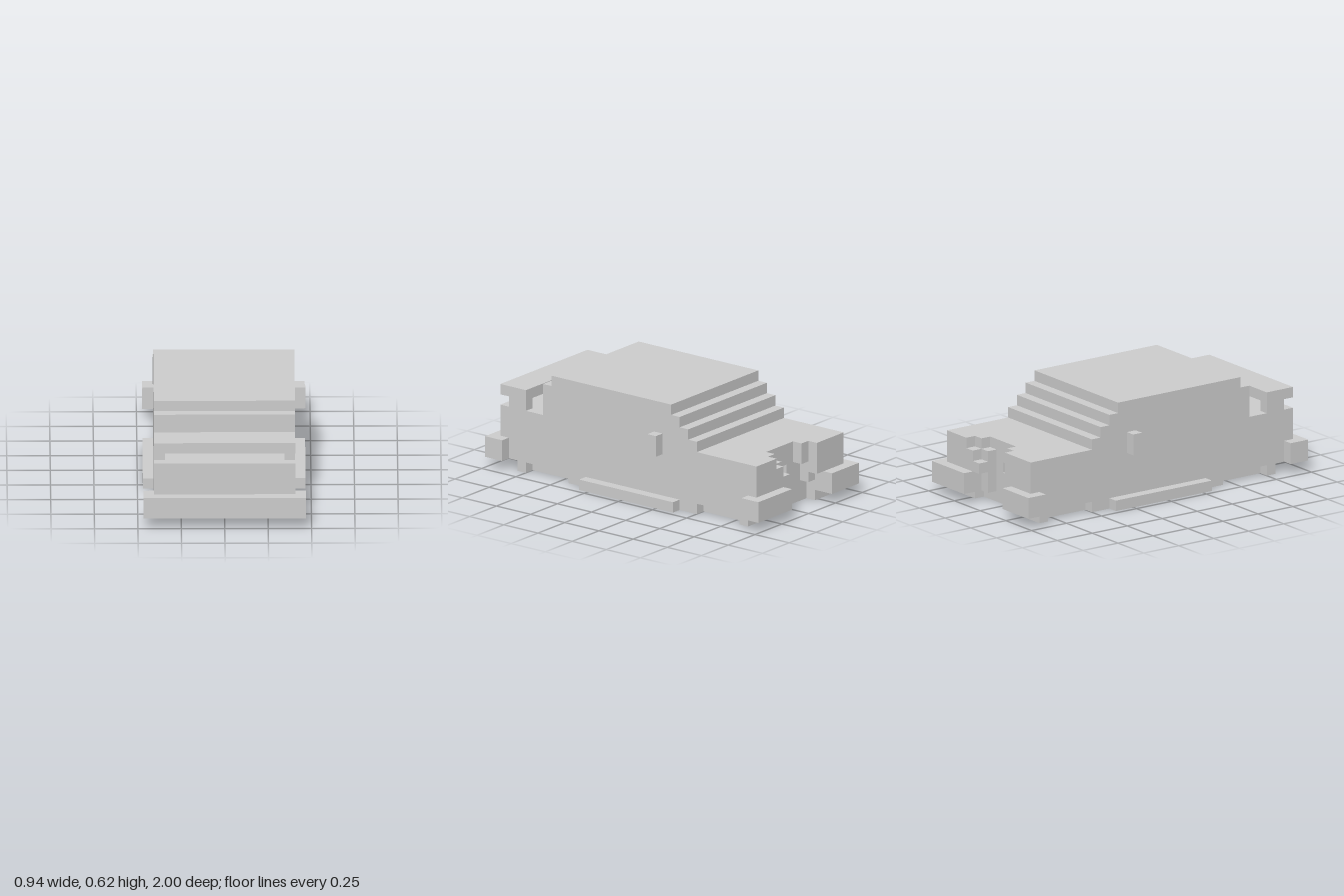
import * as THREE from 'three';

// All sizes are in blocks; 16 blocks make one unit.
const U = 1 / 16;
const material = new THREE.MeshStandardMaterial({ color: 0xcccccc, flatShading: true });

export function createModel() {
  const car = new THREE.Group();
  car.name = 'blockCar';

  const add = (name, geometry) => {
    const mesh = new THREE.Mesh(geometry, material);
    mesh.name = name;
    car.add(mesh);
    return mesh;
  };

  // Box given by its limits along each axis
  const box = (name, x0, x1, y0, y1, z0, z1) => {
    const g = new THREE.BoxGeometry((x1 - x0) * U, (y1 - y0) * U, (z1 - z0) * U);
    g.translate((x0 + x1) / 2 * U, (y0 + y1) / 2 * U, (z0 + z1) / 2 * U);
    return add(name, g);
  };

  // Box on the +x side and its mirror image
  const pair = (name, x0, x1, y0, y1, z0, z1) => {
    box(name + 'Left', x0, x1, y0, y1, z0, z1);
    box(name + 'Right', -x1, -x0, y0, y1, z0, z1);
  };

  const path = (points) => points.map(([a, b]) => new THREE.Vector2(a * U, b * U));

  // Main body: stepped side profile as (z, y), extruded across the width
  const profile = [
    [15, 1], [15, 6], [10, 6], [10, 9], [9, 9], [9, 10], [-5, 10], [-5, 9],
    [-6, 9], [-6, 8], [-7, 8], [-7, 7], [-8, 7], [-8, 6], [-12, 6], [-12, 1],
  ];
  const bodyGeo = new THREE.ExtrudeGeometry(new THREE.Shape(path(profile)), {
    depth: 13 * U, bevelEnabled: false,
  });
  bodyGeo.rotateY(-Math.PI / 2); // profile x becomes z, depth runs to -x
  bodyGeo.translate(6.5 * U, 0, 0);
  add('body', bodyGeo);

  // Rear wall with a small square opening
  const wall = new THREE.Shape(path([[-6.5, 1], [6.5, 1], [6.5, 6], [-6.5, 6]]));
  wall.holes.push(new THREE.Path(path([[-0.5, 3], [-0.5, 4], [0.5, 4], [0.5, 3]])));
  const wallGeo = new THREE.ExtrudeGeometry(wall, { depth: U, bevelEnabled: false });
  wallGeo.translate(0, 0, -13 * U);
  add('rearWall', wallGeo);

  // Underside, with wheel recesses between the rails
  box('floor', -5.5, 5.5, 0, 1, -13, 13);
  pair('frontRail', 5.5, 6.5, 0, 1, 12, 13);
  pair('middleRail', 5.5, 6.5, 0, 1, -8, 7);
  pair('rearRail', 3.5, 6.5, 0, 1, -14, -13);
  pair('sideSkirt', 6.5, 7.5, 0, 1, -6, 5);

  // Raised bar at the front, on two posts
  box('spoiler', -6.5, 6.5, 7, 8, 12, 15);
  pair('spoilerPost', 5.5, 6.5, 6, 7, 12, 14);

  // Bumpers and mirrors
  box('frontBumper', -7.5, 7.5, 1, 3, 14, 16);
  box('rearBumperLeft', 2.5, 7.5, 1, 3, -16, -14);
  box('rearBumperRight', -7.5, -3.5, 1, 3, -16, -14);
  pair('mirror', 6.5, 7.5, 5, 7, -4, -3);

  // Broken rear end, left side: steps down toward the middle
  box('rearCornerLeft', 2.5, 6.5, 1, 6, -14, -13);
  box('rearColumnLeft', 1.5, 2.5, 1, 5, -14, -13);
  box('rearPanelLeft', 3.5, 6.5, 3, 6, -15, -14);
  box('rearStepUpper', 2.5, 3.5, 3, 5, -15, -14);
  box('rearStepLower', 1.5, 2.5, 3, 4, -15, -14);

  // Broken rear end, right side: overhangs toward the middle
  box('rearCornerRight', -6.5, -3.5, 1, 6, -14, -13);
  box('rearBlockRight', -3.5, -2.5, 2, 6, -14, -13);
  box('rearOverhang', -2.5, -1.5, 4, 6, -14, -13);
  box('rearPanelRight', -6.5, -2.5, 3, 6, -15, -14);

  return car;
}
